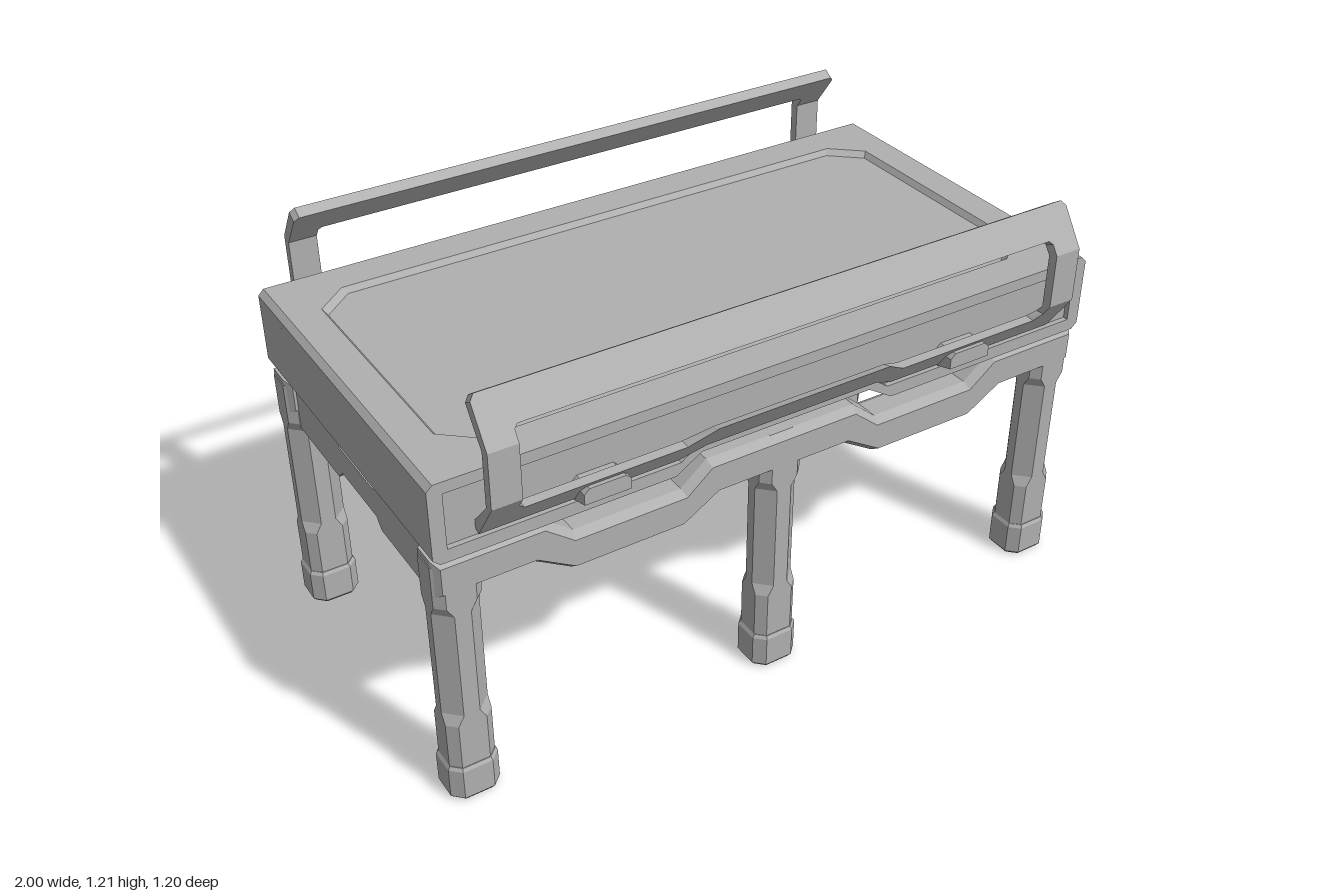
import * as THREE from 'three';

const metal = new THREE.MeshStandardMaterial({ color: 0xb0b0b0 });

function mesh(name, geo) {
  const g = geo.index ? geo.toNonIndexed() : geo;
  g.computeVertexNormals();
  const m = new THREE.Mesh(g, metal);
  m.name = name;
  return m;
}

const shapeOf = (pts) => new THREE.Shape(pts.map(([x, y]) => new THREE.Vector2(x, y)));
// Mirror a half outline (listed from one end on +x to the other) across x = 0
const mirrored = (half) => [...half, ...half.map(([x, y]) => [-x, y]).reverse()];
const extrude = (shape, depth, opts = {}) =>
  new THREE.ExtrudeGeometry(shape, { depth, bevelEnabled: false, ...opts });

// Move every vertex by a rule
function warp(geo, rule) {
  const p = geo.attributes.position;
  for (let i = 0; i < p.count; i++) p.setXYZ(i, ...rule(p.getX(i), p.getY(i), p.getZ(i)));
  return geo;
}

// Stack of chamfered rectangles: levels are [y, halfX, halfZ, chamfer]
function loft(levels) {
  const pos = [], idx = [], n = 8;
  for (const [y, a, b, c] of levels) {
    const ring = [[a, -b + c], [a, b - c], [a - c, b], [c - a, b], [-a, b - c], [-a, c - b], [c - a, -b], [a - c, -b]];
    for (const [x, z] of ring) pos.push(x, y, z);
  }
  for (let k = 0; k < levels.length - 1; k++)
    for (let i = 0; i < n; i++) {
      const a = k * n + i, b = k * n + (i + 1) % n;
      idx.push(a, a + n, b, b, a + n, b + n);
    }
  const t = (levels.length - 1) * n;
  for (let i = 1; i < n - 1; i++) idx.push(0, i, i + 1, t, t + i + 1, t + i);
  const g = new THREE.BufferGeometry();
  g.setAttribute('position', new THREE.Float32BufferAttribute(pos, 3));
  g.setIndex(idx);
  return g;
}

function leg(x) {
  const g = new THREE.Group();
  g.name = 'leg';
  g.add(mesh('legPost', loft([
    [0.1, 0.064, 0.057, 0.025], [0.25, 0.064, 0.057, 0.025], [0.28, 0.064, 0.057, 0.042],
    [0.6, 0.064, 0.057, 0.042], [0.63, 0.064, 0.057, 0.024], [0.752, 0.064, 0.057, 0.024], [0.77, 0.046, 0.036, 0.012],
  ])));
  g.add(mesh('foot', loft([
    [0, 0.062, 0.057, 0.025], [0.01, 0.07, 0.064, 0.028], [0.1, 0.07, 0.064, 0.028], [0.11, 0.064, 0.059, 0.025],
  ])));
  g.position.set(x, 0, 0.456);
  return g;
}

// Handle cross-section: outer and inner [z, y] at each bend
const OUTER = [[0.517, 0.82], [0.598, 0.94], [0.598, 1.095], [0.52, 1.208]];
const INNER = [[0.489, 0.838], [0.57, 0.93], [0.57, 1.085], [0.493, 1.19]];
function bent(name, pts) {
  return mesh(name, warp(extrude(shapeOf(pts), 1), (x, v, t) => {
    const line = t > 0.5 ? OUTER : INNER, i = Math.min(2, Math.floor(v)), f = v - i;
    const [z0, y0] = line[i], [z1, y1] = line[i + 1];
    return [x, y0 + (y1 - y0) * f, z0 + (z1 - z0) * f];
  }));
}

function handle() {
  const g = new THREE.Group();
  g.name = 'handle';
  g.add(bent('handleBase', mirrored([
    [0.26, 0.29], [0.33, 0], [0.875, 0], [0.875, 1], [0.795, 1], [0.795, 0.75],
    [0.775, 0.56], [0.33, 0.56], [0.26, 0.95],
  ])));
  for (const s of [-1, 1]) {
    const c = 0.835 * s;
    g.add(bent('handlePost', [[c - 0.04, 1], [c + 0.04, 1], [c + 0.04, 2], [c - 0.04, 2]]));
  }
  g.add(bent('handleBar', mirrored([
    [0.785, 2.32], [0.795, 2.24], [0.795, 2], [0.875, 2], [0.875, 2.88], [0.862, 3],
  ])));
  return g;
}

// Front outline of the table body, with the notch in its lower edge
const bodyOutline = () => mirrored([
  [0.26, 0.82], [0.335, 0.773], [0.976, 0.773], [0.994, 0.79], [0.994, 0.985],
]);

// Everything on one long side: rail, legs, wall, framed panel, handle and clips
function longSide(name) {
  const g = new THREE.Group();
  g.name = name;
  const rail = shapeOf(mirrored([
    [0.2, 0.66], [0.305, 0.596], [0.625, 0.596], [0.73, 0.66], [0.992, 0.66],
    [0.992, 0.77], [0.695, 0.77], [0.615, 0.707], [0.305, 0.707], [0.23, 0.77],
  ]));
  g.add(mesh('longRail', extrude(rail, 0.066, {
    bevelEnabled: true, bevelSegments: 1, bevelSize: 0.016, bevelOffset: -0.016, bevelThickness: 0.024,
  }).translate(0, 0, 0.423)));
  for (const x of [-0.93, 0, 0.93]) g.add(leg(x));

  g.add(mesh('longWall', extrude(shapeOf(bodyOutline()), 0.035).translate(0, 0, 0.467)));
  const frame = shapeOf(bodyOutline());
  frame.holes.push(shapeOf(mirrored([[0.26, 0.855], [0.32, 0.81], [0.955, 0.81], [0.955, 0.968]])));
  g.add(mesh('panelFrame', extrude(frame, 0.015).translate(0, 0, 0.502)));
  g.add(handle());

  // Clips with an undercut lower front edge
  const clip = shapeOf([[-0.065, 0.81], [0.065, 0.81], [0.065, 0.86], [0.05, 0.874], [-0.05, 0.874], [-0.065, 0.86]]);
  for (const x of [-0.555, 0.555]) {
    const geo = warp(extrude(clip, 0.07), (px, y, z) => [px, z > 0 && y < 0.82 ? 0.83 : y, z]);
    g.add(mesh('clip', geo.translate(x, 0, 0.495)));
  }
  return g;
}

export function createModel() {
  const model = new THREE.Group();
  model.name = 'table';

  // Top slab, open underneath between the walls
  model.add(mesh('topSlab', new THREE.BoxGeometry(1.988, 0.025, 0.94).translate(0, 0.9725, 0)));

  // Raised rim around the shallow eight-sided basin
  const rim = shapeOf([[0.994, -0.517], [0.994, 0.517], [-0.994, 0.517], [-0.994, -0.517]]);
  rim.holes.push(shapeOf(mirrored([[0.8, -0.412], [0.888, -0.335], [0.888, 0.335], [0.8, 0.412]])));
  const rimGeo = warp(extrude(rim, 0.016), (x, y, z) => {
    if (Math.abs(x) > 0.95) return [z > 0.008 ? Math.sign(x) * 0.978 : x, y, z];
    return z > 0.008 ? [x, y, z] : [x - Math.sign(x) * 0.012, y - Math.sign(y) * 0.012, z];
  });
  model.add(mesh('topRim', rimGeo.rotateX(-Math.PI / 2).translate(0, 0.985, 0)));

  const front = longSide('frontSide');
  const back = longSide('backSide');
  back.rotation.y = Math.PI;
  model.add(front, back);

  // Short ends: body wall above, notched rail between the corner legs below
  const wall = shapeOf([[0.9, 0.773], [0.976, 0.773], [0.994, 0.79], [0.994, 0.965], [0.9, 0.965]]);
  const rail = shapeOf(mirrored([[0.108, 0.645], [0.135, 0.617], [0.42, 0.617], [0.42, 0.755], [0.135, 0.755], [0.105, 0.727]]));
  rail.curves = shapeOf(mirrored([[0.108, 0.645], [0.135, 0.617], [0.42, 0.617], [0.42, 0.755], [0.135, 0.755], [0.105, 0.727]])).curves;
  for (const angle of [0, Math.PI]) {
    const end = new THREE.Group();
    end.name = 'shortEnd';
    end.add(mesh('shortWall', extrude(wall, 0.94).translate(0, 0, -0.47)));
    end.add(mesh('shortRail', extrude(rail, 0.075).rotateY(Math.PI / 2).translate(0.893, 0, 0)));
    end.rotation.y = angle;
    model.add(end);
  }
  return model;
}
